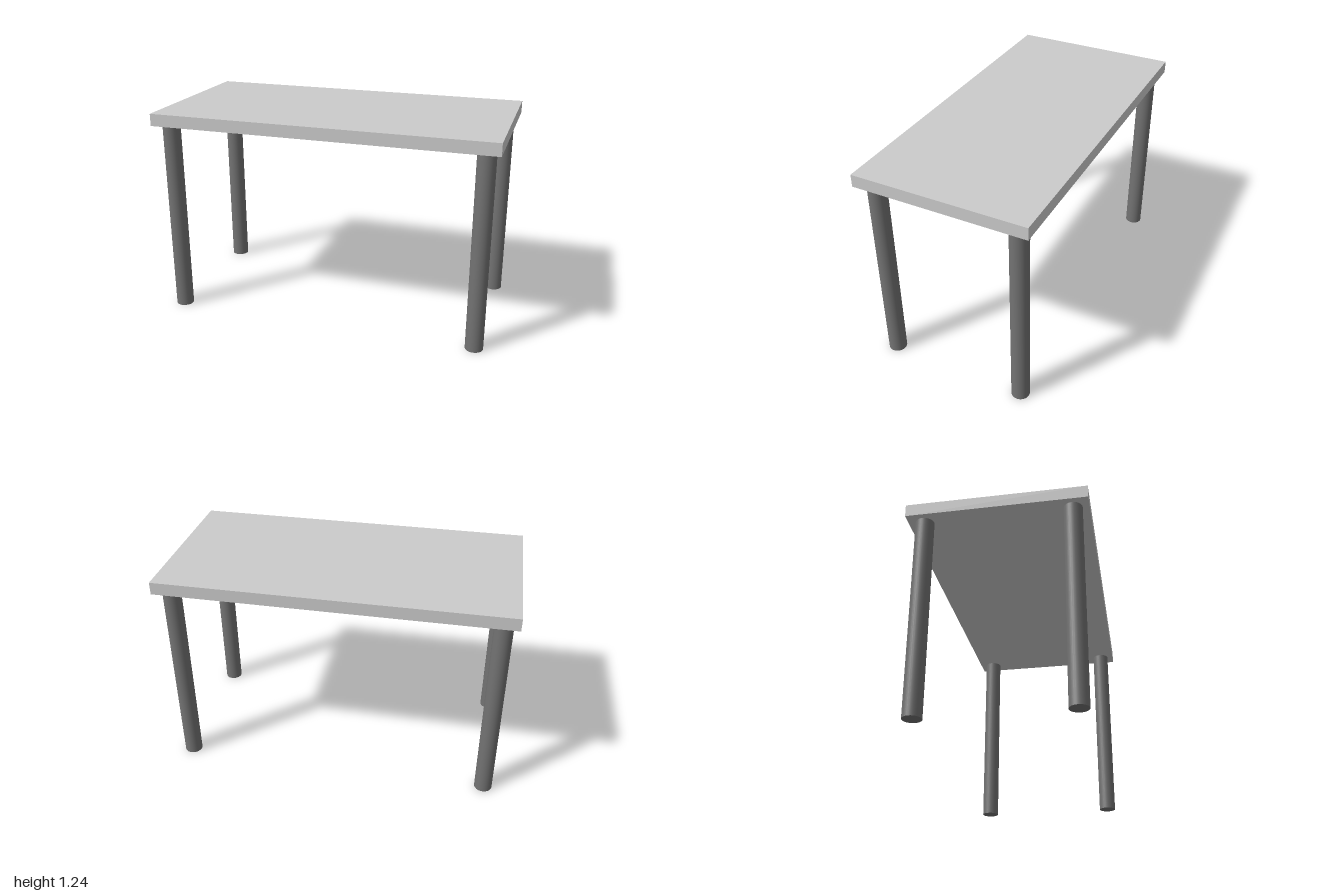
import * as THREE from 'three';

const HEIGHT = 1.235, THICKNESS = 0.072;
const LEG_RADIUS = 0.052, LEG_X = 0.917, LEG_Z = 0.411;

export function createModel() {
  const table = new THREE.Group();
  table.name = 'table';

  // Flat rectangular top
  const top = new THREE.Mesh(
    new THREE.BoxGeometry(2, THICKNESS, 1),
    new THREE.MeshStandardMaterial({ color: 0xcccccc })
  );
  top.name = 'tableTop';
  top.position.y = HEIGHT - THICKNESS / 2;
  table.add(top);

  // Four round legs, one near each corner
  const legHeight = HEIGHT - THICKNESS;
  const legGeometry = new THREE.CylinderGeometry(LEG_RADIUS, LEG_RADIUS, legHeight, 32);
  const legMaterial = new THREE.MeshStandardMaterial({ color: 0x737373 });
  for (const [side, sx] of [['Left', 1], ['Right', -1]]) {
    for (const [end, sz] of [['front', 1], ['back', -1]]) {
      const leg = new THREE.Mesh(legGeometry, legMaterial);
      leg.name = `${end}${side}Leg`;
      leg.position.set(sx * LEG_X, legHeight / 2, sz * LEG_Z);
      table.add(leg);
    }
  }

  return table;
}
